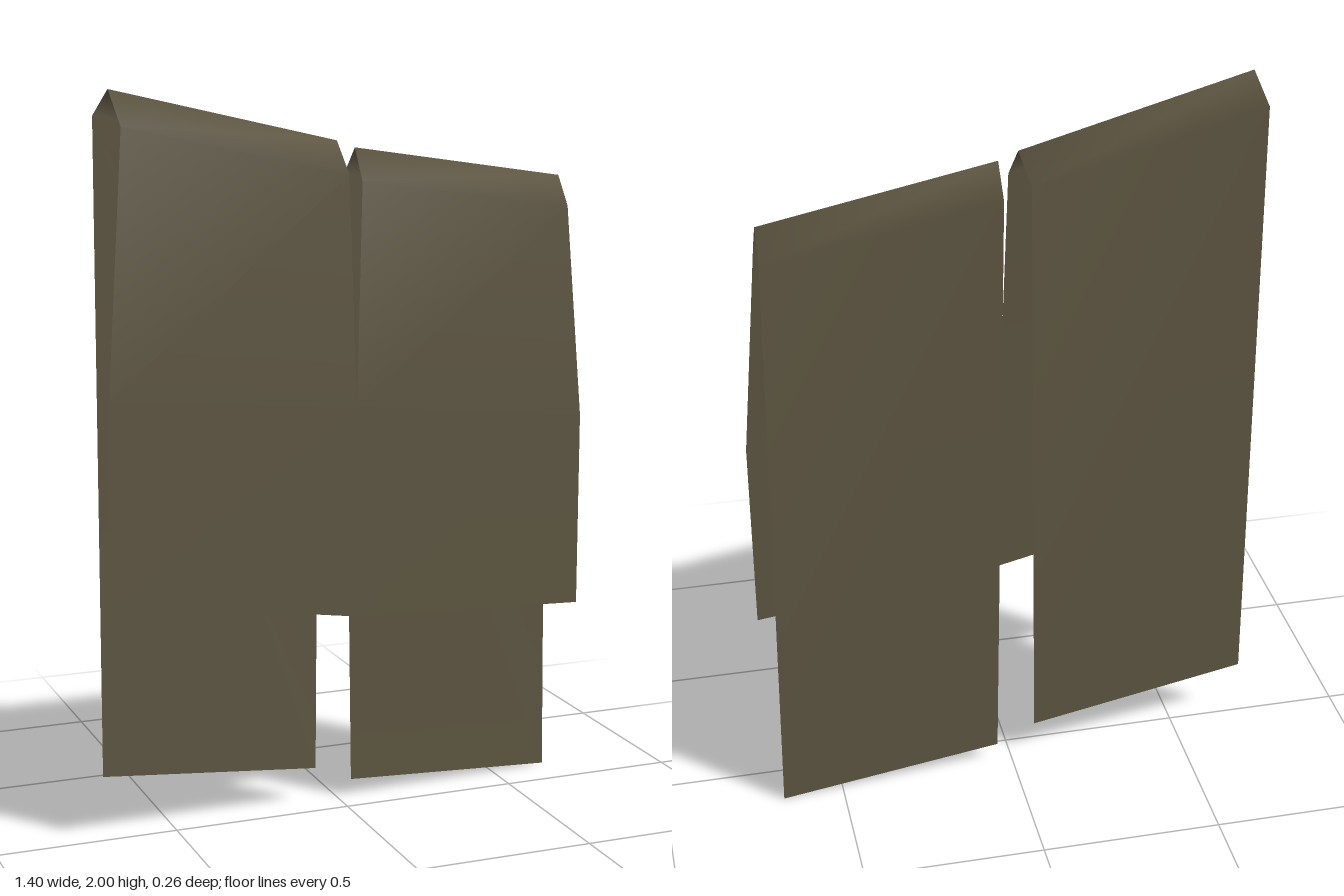
import * as THREE from 'three';

// Draped cloth: two folded strips joined below a slit in front, hanging free behind.
export function createModel() {
  const group = new THREE.Group();
  group.name = 'drapedCloth';
  const cloth = new THREE.MeshStandardMaterial({ color: 0x5e5642, side: THREE.DoubleSide });
  cloth.name = 'olive cloth';

  // Each row runs from the strip's right edge to its left edge, from the back hem over the ridge to the front hem.
  function strip(name, rows) {
    const index = [];
    for (let i = 0; i < rows.length - 1; i++) {
      const a = i * 2;
      index.push(a, a + 2, a + 1, a + 1, a + 2, a + 3);
    }
    const geometry = new THREE.BufferGeometry();
    geometry.setAttribute('position', new THREE.Float32BufferAttribute(rows.flat(2), 3));
    geometry.setIndex(index);
    geometry.computeVertexNormals();
    // Make the normals point outwards (the last row faces the front).
    if (geometry.attributes.normal.getZ(rows.length * 2 - 1) < 0) {
      geometry.setIndex(index.reverse());
      geometry.computeVertexNormals();
    }
    const mesh = new THREE.Mesh(geometry, cloth);
    mesh.name = name;
    group.add(mesh);
  }

  strip('rightClothStrip', [
    [[-0.70, 0.175, -0.012], [-0.07, 0.10, -0.067]], // back hem
    [[-0.688, 1.93, -0.015], [-0.053, 1.79, -0.07]], // back fold
    [[-0.67, 2.00, 0.07], [-0.036, 1.855, 0.015]], // ridge
    [[-0.655, 1.91, 0.13], [-0.023, 1.77, 0.072]], // front fold
    [[-0.70, 1.22, 0.13], [0, 1.15, 0.07]], // foot of the slit
    [[-0.70, 0.69, 0.13], [0, 0.57, 0.07]], // front hem
  ]);

  strip('leftClothStrip', [
    [[0.04, 0.05, -0.075], [0.67, 0.0, -0.128]],
    [[0.02, 1.76, -0.075], [0.65, 1.67, -0.128]],
    [[0.017, 1.835, 0.01], [0.648, 1.74, -0.05]],
    [[0.015, 1.75, 0.07], [0.648, 1.66, 0.01]],
    [[0, 1.15, 0.07], [0.70, 1.07, 0.01]],
    [[0, 0.57, 0.07], [0.70, 0.525, 0.01]],
  ]);

  return group;
}
